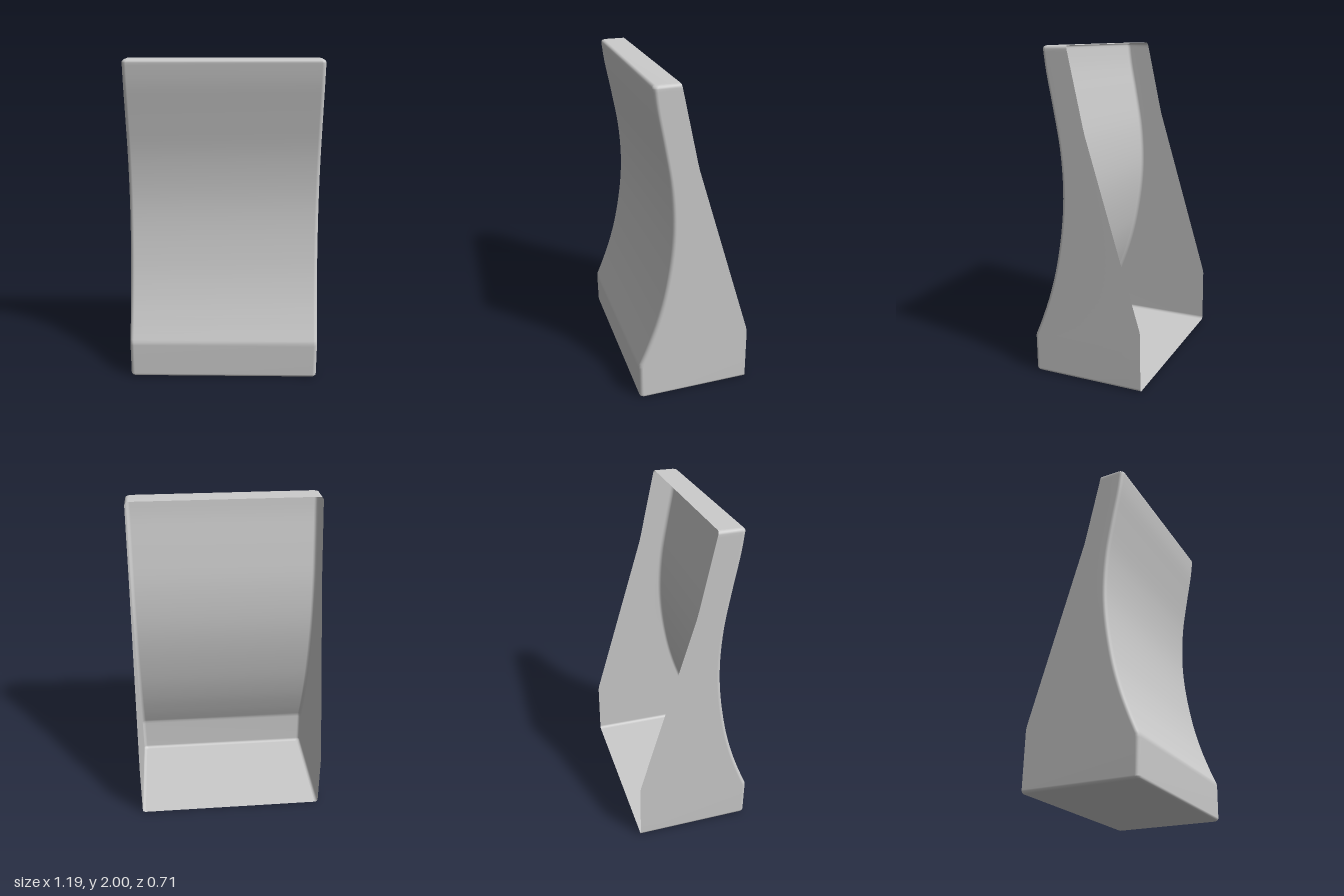
import * as THREE from 'three';

const HALF = 0.597, EDGE = 0.02, CORNER = 0.025, ARC = 4;

// concave front face above the plinth, as (z, y)
const curve = new THREE.SplineCurve([
  [0.357, 0.24], [0.307, 0.36], [0.25, 0.52], [0.2, 0.71], [0.16, 0.95],
  [0.146, 1.17], [0.16, 1.41], [0.2, 1.65], [0.238, 1.85], [0.255, 1.98],
].map(([z, y]) => new THREE.Vector2(z, y)));

// sloping open rear edge
function backZ(y) {
  const pts = [[0, -0.355], [0.37, -0.352], [1.52, -0.005], [2, 0.1]];
  let i = 0;
  while (i < 2 && y > pts[i + 1][0]) i++;
  const [a, b] = [pts[i], pts[i + 1]];
  return THREE.MathUtils.mapLinear(y, a[0], b[0], a[1], b[1]);
}

// U-shaped cross-section, from the left rear edge round the front to the right rear edge
function section(y, front, inset) {
  const w = HALF - inset, f = front - inset, back = backZ(y);
  const left = [[w, back]];
  for (let i = 0; i <= ARC; i++) {
    const a = (i / ARC) * Math.PI / 2;
    left.push([w - CORNER * (1 - Math.cos(a)), f - CORNER * (1 - Math.sin(a))]);
  }
  const right = left.map(([x, z]) => [-x, z]).reverse();
  return [...left, ...right].map(([x, z]) => [x, y, z]);
}

// flat end: the section drawn back to the rear edge
const cap = (row) => row.map(([x, y]) => [x, y, backZ(y)]);

function shellGeometry() {
  const rows = [];
  // rounded bottom edge
  for (let i = 0; i <= 4; i++) {
    const a = (i / 4) * Math.PI / 2;
    rows.push(section(EDGE * (1 - Math.cos(a)), 0.355, EDGE * (1 - Math.sin(a))));
  }
  rows.unshift(cap(rows[0]));
  // plinth front, then the hollowed face
  rows.push(section(0.22, 0.358, 0));
  for (const p of [...curve.getPoints(45)]) rows.push(section(p.y, p.x, 0));
  // rounded top edge
  for (let i = 1; i <= 4; i++) {
    const a = (i / 4) * Math.PI / 2;
    rows.push(section(2 - EDGE + EDGE * Math.sin(a), 0.256, EDGE * (1 - Math.cos(a))));
  }
  rows.push(cap(rows[rows.length - 1]));

  const n = rows[0].length, index = [];
  for (let r = 0; r < rows.length - 1; r++) {
    for (let c = 0; c < n - 1; c++) {
      const a = r * n + c, up = a + n;
      index.push(a, up, a + 1, a + 1, up, up + 1);
    }
  }
  const geometry = new THREE.BufferGeometry();
  geometry.setAttribute('position', new THREE.Float32BufferAttribute(rows.flat(2), 3));
  geometry.setIndex(index);
  geometry.computeVertexNormals();
  return geometry;
}

export function createModel() {
  const group = new THREE.Group();
  const material = new THREE.MeshStandardMaterial({ color: 0xcccccc, side: THREE.DoubleSide });
  const shell = new THREE.Mesh(shellGeometry(), material);
  shell.name = 'openBackedShell';
  group.add(shell);
  return group;
}
